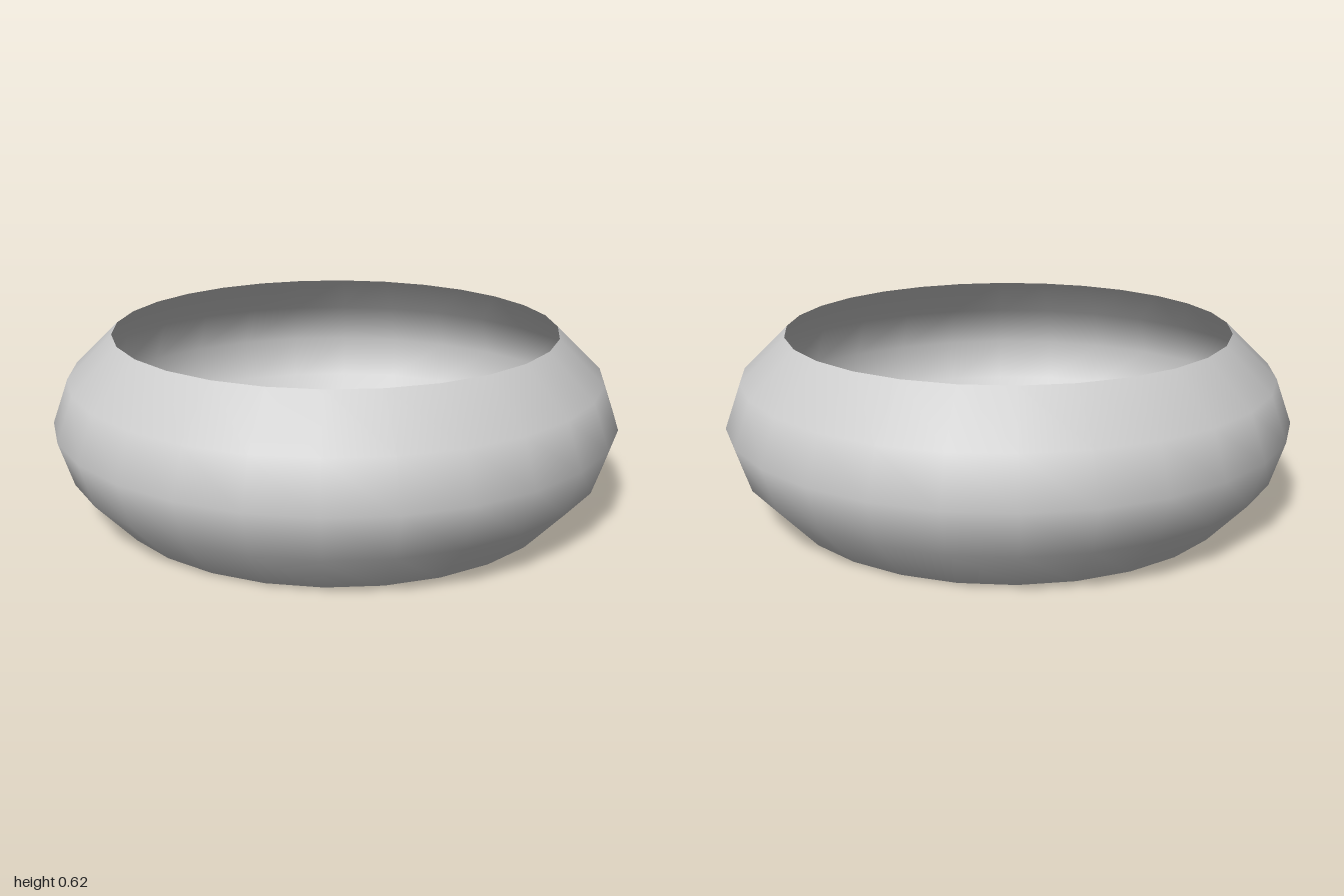
import * as THREE from 'three';

export function createModel() {
  const group = new THREE.Group();
  group.name = 'ring';

  // Bulging band: an open, thin shell, slightly narrower at the top rim
  const profile = [
    [0.815, 0], [0.953, 0.155], [1, 0.31], [0.943, 0.465], [0.785, 0.617],
  ].map(([r, y]) => new THREE.Vector2(r, y));

  const band = new THREE.Mesh(
    new THREE.LatheGeometry(profile, 28),
    new THREE.MeshStandardMaterial({ color: 0xcccccc, side: THREE.DoubleSide }),
  );
  band.name = 'band';
  group.add(band);
  return group;
}
